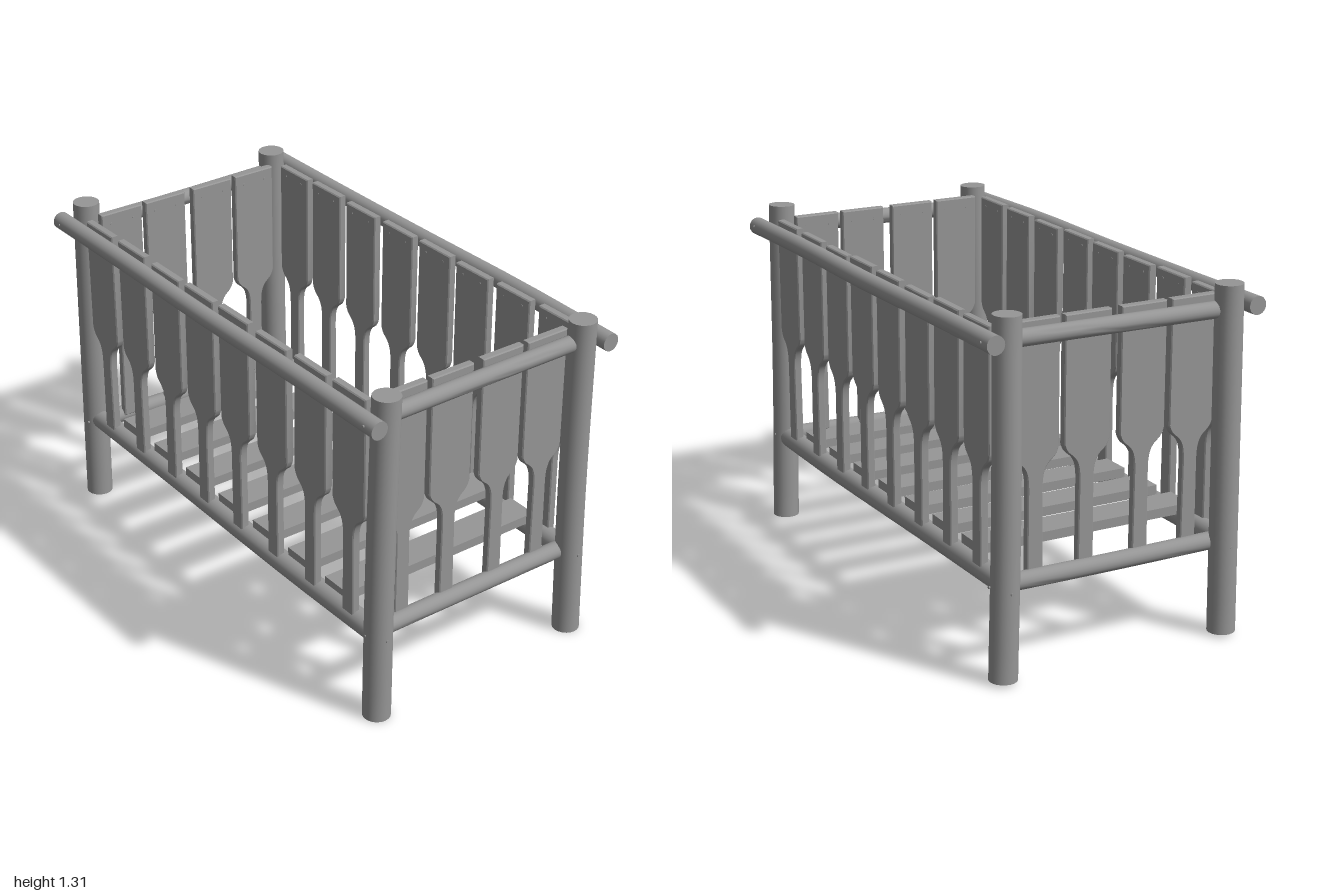
import * as THREE from 'three';
import { toCreasedNormals } from 'three/addons/utils/BufferGeometryUtils.js';

const material = new THREE.MeshStandardMaterial({ color: 0x969696 });

function add(parent, name, geometry, x = 0, y = 0, z = 0) {
  const mesh = new THREE.Mesh(geometry, material);
  mesh.name = name;
  mesh.position.set(x, y, z);
  parent.add(mesh);
  return mesh;
}

// Slightly crooked pole: a capped cylinder bent along a curve through the points
function pole(points, r0, r1) {
  const path = new THREE.CatmullRomCurve3(points.map((p) => new THREE.Vector3(...p)));
  const dir = path.getPoint(1).sub(path.getPoint(0)).normalize();
  const turn = new THREE.Quaternion().setFromUnitVectors(new THREE.Vector3(0, 1, 0), dir);
  const geometry = new THREE.CylinderGeometry(r1, r0, 1, 20, 10);
  const pos = geometry.attributes.position;
  const v = new THREE.Vector3();
  for (let i = 0; i < pos.count; i++) {
    v.fromBufferAttribute(pos, i);
    const centre = path.getPoint(THREE.MathUtils.clamp(v.y + 0.5, 0, 1));
    v.setY(0).applyQuaternion(turn).add(centre);
    pos.setXYZ(i, v.x, v.y, v.z);
  }
  return toCreasedNormals(geometry, 0.7);
}

// Paddle-shaped slat: narrow neck below, wide panel above, centred in depth
function paddle(bottom, top) {
  const neck = 0.029, wide = 0.091;
  const s = new THREE.Shape();
  s.moveTo(-neck - 0.002, bottom);
  s.lineTo(neck + 0.002, bottom);
  s.lineTo(neck, 0.67);
  s.bezierCurveTo(neck, 0.745, 0.05, 0.755, 0.07, 0.772);
  s.quadraticCurveTo(0.085, 0.785, wide, 0.81);
  s.lineTo(wide, top);
  s.lineTo(-wide, top);
  s.lineTo(-wide, 0.81);
  s.quadraticCurveTo(-0.085, 0.785, -0.07, 0.772);
  s.bezierCurveTo(-0.05, 0.755, -neck, 0.745, -neck, 0.67);
  s.closePath();
  const g = new THREE.ExtrudeGeometry(s, {
    depth: 0.024, bevelEnabled: true, bevelThickness: 0.004, bevelSize: 0.004,
    bevelOffset: -0.004, bevelSegments: 1, curveSegments: 8,
  });
  g.translate(0, 0, -0.012);
  return toCreasedNormals(g, 0.5);
}

export function createModel() {
  const crib = new THREE.Group();
  crib.name = 'crib';

  // Corner posts, each leaning a little differently
  const posts = [
    ['frontRightPost', [[-0.945, 0.01, 0.447], [-0.942, 0.6, 0.442], [-0.94, 1.31, 0.435]]],
    ['frontLeftPost', [[0.926, 0, 0.447], [0.931, 0.6, 0.445], [0.94, 1.3, 0.436]]],
    ['backRightPost', [[-0.935, 0.01, -0.45], [-0.935, 0.6, -0.44], [-0.925, 1.31, -0.433]]],
    ['backLeftPost', [[0.926, 0, -0.457], [0.928, 0.6, -0.441], [0.937, 1.31, -0.431]]],
  ];
  for (const [name, points] of posts) add(crib, name, pole(points, 0.052, 0.051));

  // Long rails: the top ones run outside the posts, the lower ones between them
  for (const s of [1, -1]) {
    const side = s > 0 ? 'front' : 'back';
    add(crib, side + 'TopRail', pole([
      [-1, 1.232, s * 0.515], [-0.5, 1.228, s * 0.513], [0, 1.224, s * 0.517],
      [0.5, 1.227, s * 0.515], [1, 1.219, s * 0.511]], 0.034, 0.034));
    add(crib, side + 'LowerRail', pole([
      [-0.92, 0.362, s * 0.443], [-0.4, 0.357, s * 0.444], [0.1, 0.349, s * 0.446],
      [0.45, 0.344, s * 0.446], [0.91, 0.344, s * 0.444]], 0.039, 0.041));
  }

  // End rails between the posts
  for (const s of [1, -1]) {
    const side = s > 0 ? 'left' : 'right';
    add(crib, side + 'TopRail', pole([
      [s * 0.927, 1.216, 0.43], [s * 0.925, 1.219, 0], [s * 0.928, 1.223, -0.43]], 0.031, 0.031));
    add(crib, side + 'LowerRail', pole([
      [s * 0.908, 0.352, 0.45], [s * 0.902, 0.347, 0], [s * 0.908, 0.352, -0.45]], 0.033, 0.033));
  }

  // Paddle slats along the front and back, with nails on the inner face
  const sideSlat = paddle(0.36, 1.258);
  const endSlat = paddle(0.36, 1.268);
  const nail = new THREE.CylinderGeometry(0.005, 0.005, 0.008, 8).rotateX(Math.PI / 2);
  const nailPair = (slat, z) => {
    for (const x of [-0.05, 0.05]) add(slat, 'slatNail', nail, x, 1.225, z);
  };
  for (const s of [1, -1]) {
    for (let i = 0; i < 8; i++) {
      const slat = add(crib, s > 0 ? 'frontSlat' : 'backSlat', sideSlat,
        (i - 3.5) * 0.2243, 0.004 * Math.sin(i * 2.1), s * 0.457);
      slat.rotation.z = 0.004 * Math.sin(i * 1.7 + s);
      nailPair(slat, -s * 0.0135);
    }
    // Paddle slats at the two ends
    for (const z of [0.32, 0.118, -0.104, -0.306]) {
      const slat = add(crib, s > 0 ? 'leftEndSlat' : 'rightEndSlat', endSlat, s * 0.884, 0, z);
      slat.rotation.y = Math.PI / 2;
      nailPair(slat, -s * 0.0135);
    }
  }

  // Floor boards resting on the lower rails
  for (let i = -3; i <= 3; i++) {
    const board = add(crib, 'floorBoard', new THREE.BoxGeometry(0.128, 0.036, 0.876),
      i * 0.2243, 0.405 - i * 0.004, 0);
    board.rotation.z = 0.012 * Math.sin(i * 1.9);
  }

  // Nails through the rail ends and the posts
  for (const s of [1, -1]) {
    for (const t of [1, -1]) {
      add(crib, 'railNail', nail, s * 0.957, s > 0 ? 1.228 : 1.236, t * (s > 0 ? 0.544 : 0.548));
      add(crib, 'postNail', nail, s * 0.92, 0.355, t * 0.496);
      const x = s > 0 ? 0.979 : -0.993;
      add(crib, 'postNail', nail, x, 0.345, t * 0.447).rotation.y = Math.PI / 2;
    }
  }
  return crib;
}
